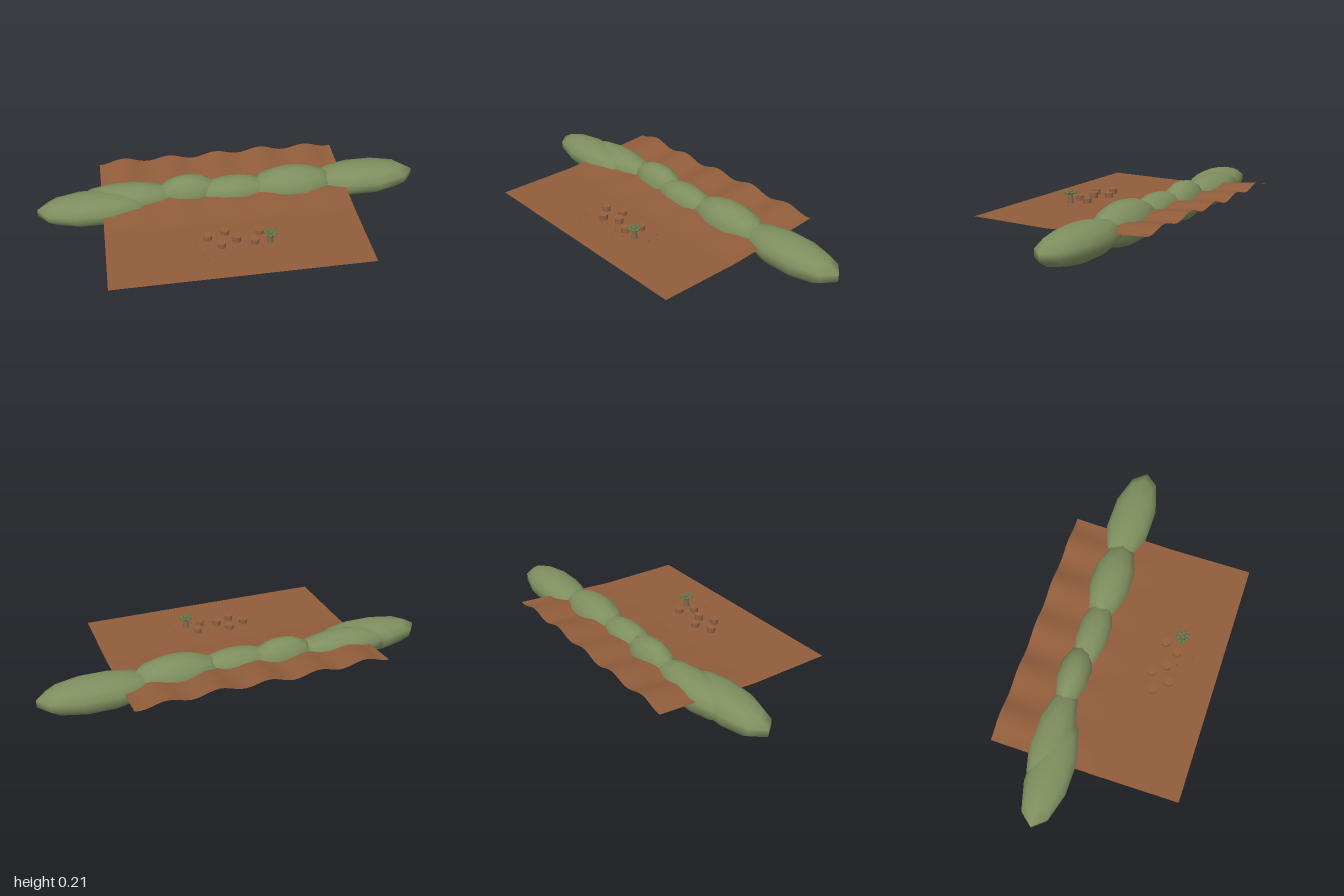
import * as THREE from 'three';

const GROUND = 0.107;

export function createModel() {
  const group = new THREE.Group();
  const mat = (name, color, side = THREE.FrontSide) => {
    const m = new THREE.MeshStandardMaterial({ color, side });
    m.name = name;
    return m;
  };
  const earth = mat('red earth', 0x915d3b, THREE.DoubleSide);
  const hillGreen = mat('hill green', 0x7f8f5f);
  const clay = mat('clay wall', 0x8a6045);
  const roof = mat('roof', 0x96603c);
  const bark = mat('bark', 0x7d6450);
  const leaf = mat('leaf green', 0x5f7a48);
  const stone = mat('stone', 0x5c4a3c);

  const add = (name, geo, material, x, y, z, parent = group) => {
    const m = new THREE.Mesh(geo, material);
    m.name = name;
    m.position.set(x, y, z);
    parent.add(m);
    return m;
  };

  // Ground: flat in front, rising into ripples toward the back
  const ground = new THREE.PlaneGeometry(1.28, 0.96, 48, 32).rotateX(-Math.PI / 2);
  const p = ground.attributes.position;
  for (let i = 0; i < p.count; i++) {
    const x = p.getX(i) - 0.03;
    const t = Math.max(0, (0.05 - p.getZ(i)) / 0.53);
    p.setY(i, t * (0.05 + 0.013 * Math.cos((x + 0.54) * Math.PI * 8) + 0.004 * Math.sin(x * 9)));
  }
  ground.computeVertexNormals();
  add('ground', ground, earth, -0.03, GROUND, 0);

  // Row of long hills: x, z, then radii along x, y and z
  const hills = [
    [-0.715, -0.155, 0.292, 0.08, 0.113],
    [-0.55, -0.205, 0.27, 0.084, 0.1],
    [-0.22, -0.21, 0.17, 0.104, 0.086],
    [0.02, -0.19, 0.2, 0.084, 0.088],
    [0.33, -0.195, 0.235, 0.107, 0.112],
    [0.715, -0.21, 0.292, 0.084, 0.118],
  ];
  for (const [x, z, rx, ry, rz] of hills) {
    add('hill', new THREE.SphereGeometry(1, 10, 7).scale(rx, ry, rz), hillGreen, x, GROUND, z);
  }

  // Small round huts with thin flat roofs
  const huts = [
    [-0.17, 0.19, 0.026], [-0.11, 0.255, 0.027], [-0.08, 0.157, 0.023],
    [-0.03, 0.22, 0.029], [0.055, 0.25, 0.026], [0.09, 0.18, 0.024],
  ];
  for (const [x, z, h] of huts) {
    const hut = new THREE.Group();
    hut.name = 'hut';
    hut.position.set(x, GROUND, z);
    add('hutWall', new THREE.CylinderGeometry(0.021, 0.021, h, 12), clay, 0, h / 2, 0, hut);
    add('hutRoof', new THREE.CylinderGeometry(0.0225, 0.0225, 0.003, 12), roof, 0, h, 0, hut);
    group.add(hut);
  }

  // Thick-trunked tree with spreading branches and leaf clumps
  const tree = new THREE.Group();
  tree.name = 'tree';
  tree.position.set(0.13, GROUND, 0.255);
  add('trunk', new THREE.CylinderGeometry(0.009, 0.017, 0.045, 10), bark, 0, 0.0225, 0, tree);
  const clump = new THREE.SphereGeometry(1, 8, 6).scale(0.011, 0.006, 0.011);
  for (let i = 0; i < 7; i++) {
    const a = (i / 7) * Math.PI * 2;
    const c = Math.cos(a), s = Math.sin(a);
    const path = new THREE.LineCurve3(
      new THREE.Vector3(c * 0.004, 0.04, s * 0.004),
      new THREE.Vector3(c * 0.022, 0.054, s * 0.022));
    add('branch', new THREE.TubeGeometry(path, 1, 0.0025, 5), bark, 0, 0, 0, tree);
    add('leafClump', clump, leaf, c * 0.024, 0.055, s * 0.024, tree);
  }
  add('leafCrown', clump, leaf, 0, 0.06, 0, tree);
  group.add(tree);

  // Scattered pebbles
  const pebbles = [
    [-0.23, 0.23], [-0.19, 0.345], [0.055, 0.33], [0.18, 0.155], [0.2, 0.225], [-0.09, 0.285],
    [0.02, 0.285], [-0.06, 0.27], [-0.005, 0.265], [0.15, 0.18], [-0.2, 0.3], [0.09, 0.29],
  ];
  const pebble = new THREE.IcosahedronGeometry(0.0025, 0);
  for (const [x, z] of pebbles) add('pebble', pebble, stone, x, GROUND + 0.001, z);

  return group;
}
